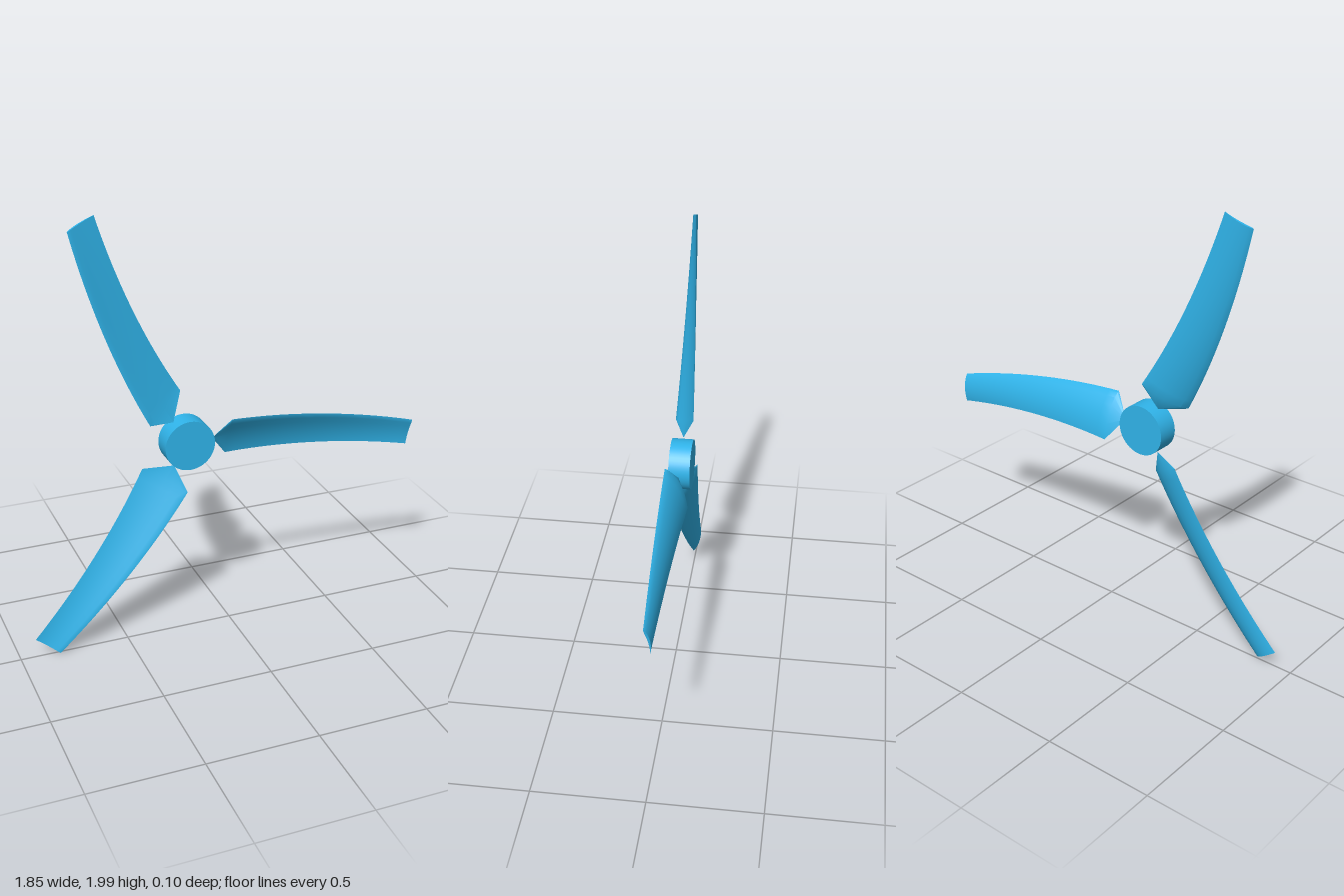
import * as THREE from 'three';
import { toCreasedNormals } from 'three/addons/utils/BufferGeometryUtils.js';

const HALF = 8;          // steps along each side of the airfoil
const RING = HALF * 2;   // points per cross-section
const STATIONS = 20;     // sections from blade root to tip

// Cambered airfoil: s runs 1 (leading edge) to -1, n is the offset towards the back, in half chords
function airfoilPoint(j) {
  const back = j <= HALF;
  const u = (1 - Math.cos(Math.PI * (back ? j : RING - j) / HALF)) / 2;
  const camber = 0.15 * 4 * u * (1 - u);
  const thickness = 0.22 * Math.sqrt(u) * (1 - u);
  return [1 - 2 * u, camber + (back ? thickness : -thickness)];
}

// Blade along +x, measured from the hub axis; twists, tapers and sweeps down to the tip
function bladeGeometry() {
  const pos = [], index = [];
  const addRing = (r, cy, hy, hz, lean) => {
    const len = Math.hypot(hy, hz) || 1;
    for (let j = 0; j < RING; j++) {
      const [s, n] = airfoilPoint(j);
      const k = len * n;
      const dy = s * hy + k * hz / len;
      pos.push(r + lean * dy, cy + dy, s * hz - k * hy / len);
    }
  };
  // pointed root
  addRing(0.12, 0, 0, 0, 0);
  for (let i = 0; i <= STATIONS; i++) {
    const t = i / STATIONS;
    addRing(0.2 + 0.912 * t, -0.005 - 0.13 * t ** 1.9,
      0.101 - 0.036 * t, 0.051 - 0.0385 * t, 0.12 * t * t);
  }
  for (let i = 0; i <= STATIONS; i++) {
    for (let j = 0; j < RING; j++) {
      const a = i * RING + j, b = i * RING + (j + 1) % RING;
      if (i > 0) index.push(a, a + RING, b);
      index.push(b, a + RING, b + RING);
    }
  }
  // flat tip cap
  const tip = (STATIONS + 1) * RING;
  for (let j = 0; j < HALF; j++) {
    const a = tip + j, b = tip + j + 1;
    const c = tip + RING - j - 1, d = tip + (RING - j) % RING;
    if (j > 0) index.push(a, d, c);
    if (j < HALF - 1) index.push(a, c, b);
  }
  const geo = new THREE.BufferGeometry();
  geo.setAttribute('position', new THREE.Float32BufferAttribute(pos, 3));
  geo.setIndex(index);
  return toCreasedNormals(geo, 0.5);
}

export function createModel() {
  const rotor = new THREE.Group();
  rotor.name = 'rotor';
  const material = new THREE.MeshStandardMaterial({ color: 0x30b4ea });

  // hub disc
  const hub = new THREE.Mesh(new THREE.CylinderGeometry(0.115, 0.115, 0.097, 48), material);
  hub.name = 'hub';
  hub.rotation.x = Math.PI / 2;
  rotor.add(hub);

  // three blades
  const geo = bladeGeometry();
  for (let i = 0; i < 3; i++) {
    const blade = new THREE.Mesh(geo, material);
    blade.name = 'blade' + (i + 1);
    blade.rotation.z = i * Math.PI * 2 / 3;
    rotor.add(blade);
  }

  rotor.position.set(-0.2, 0.945, 0);
  const model = new THREE.Group();
  model.name = 'propeller';
  model.add(rotor);
  return model;
}
